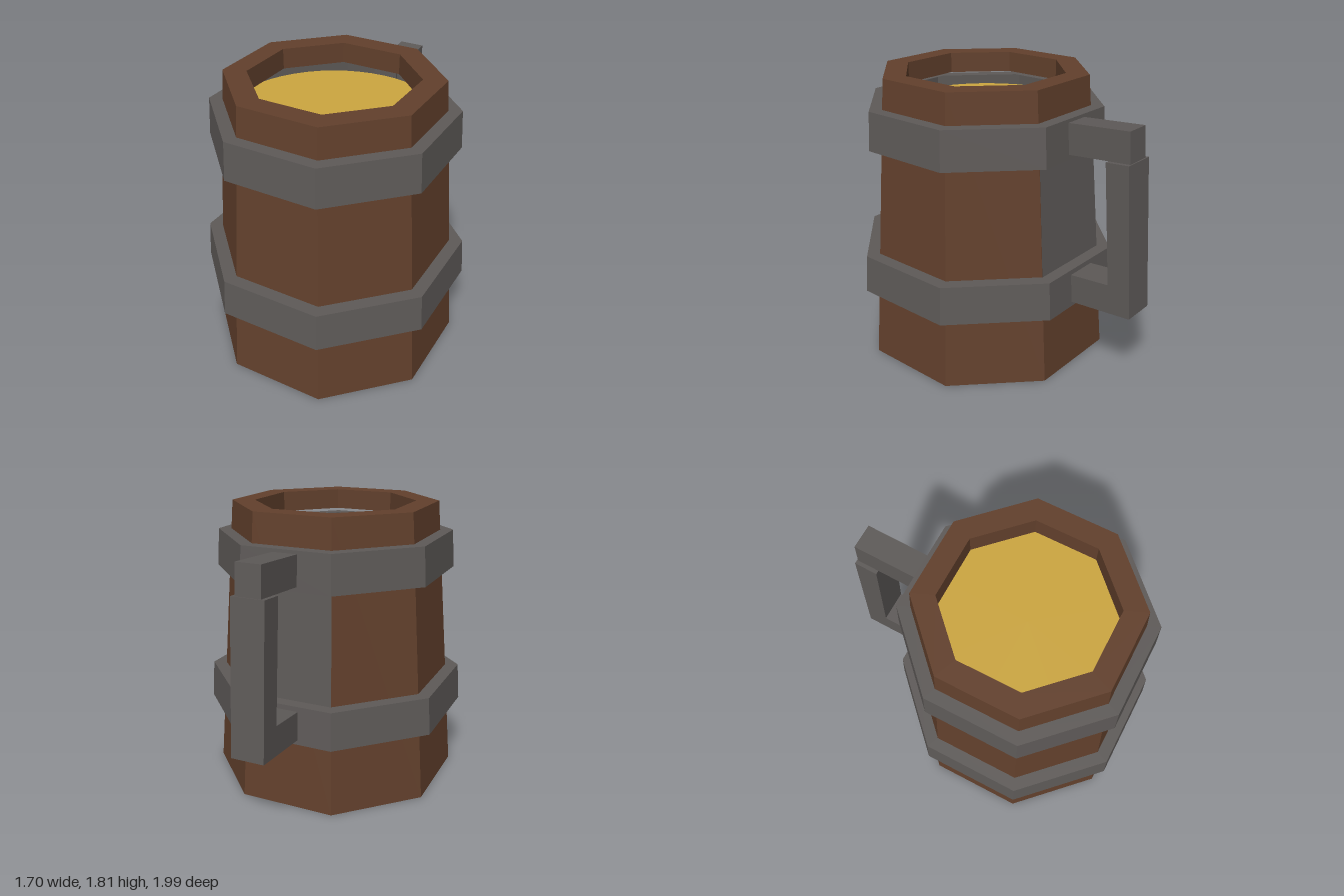
import * as THREE from 'three';

const material = (color, side = THREE.FrontSide) =>
  new THREE.MeshStandardMaterial({ color, side, flatShading: true });
const wood = material(0x62402c);
const metal = material(0x5e5a58);
const hoopMetal = material(0x5e5a58, THREE.DoubleSide);
const ale = material(0xcca640);

const SIDES = 8;
const HANDLE_ANGLE = Math.PI * 7 / 8; // middle of the back facet on the model's left
const points = list => list.map(([x, y]) => new THREE.Vector2(x, y));

function add(parent, name, geometry, mat) {
  const mesh = new THREE.Mesh(geometry, mat);
  mesh.name = name;
  parent.add(mesh);
  return mesh;
}

// Octagonal ring or vessel from a profile of [radius, height]
const turned = profile => new THREE.LatheGeometry(points(profile), SIDES);

// Bar from a side outline of [distance from the axis, height], centred on its width
function bar(outline, width) {
  const geometry = new THREE.ExtrudeGeometry(new THREE.Shape(points(outline)), {
    depth: width, bevelEnabled: false
  });
  geometry.translate(0, 0, -width / 2);
  return geometry;
}

export function createModel() {
  const model = new THREE.Group();
  model.name = 'tankard';
  const mug = new THREE.Group();
  mug.name = 'mug';
  mug.position.z = 0.143;
  model.add(mug);

  // Tapered wooden body with a thick lip
  add(mug, 'body', turned([
    [0, 0], [0.805, 0], [0.66, 1.81], [0.515, 1.81], [0.515, 1.68], [0.668, 1.68]
  ]), wood);

  // Metal hoops, open on the inside
  for (const [name, y0, y1, r0, r1, inner] of [
    ['lowerHoop', 0.46, 0.7, 0.852, 0.835, 0.74],
    ['upperHoop', 1.385, 1.625, 0.772, 0.757, 0.665]
  ]) {
    add(mug, name, turned([[inner, y0], [r0, y0], [r1, y1], [inner, y1]]), hoopMetal);
  }

  // Drink surface below the lip
  const drink = add(mug, 'drink', new THREE.CircleGeometry(0.68, 48), ale);
  drink.rotation.x = -Math.PI / 2;
  drink.position.y = 1.55;

  // Metal plate covering the facet behind the handle
  const plate = add(mug, 'handlePlate', new THREE.CylinderGeometry(
    0.698, 0.753, 0.7, 1, 1, true, HANDLE_ANGLE - Math.PI / 8, Math.PI / 4), metal);
  plate.position.y = 1.04;

  // Handle: a narrow upper arm, and a wider grip with the lower arm
  const handle = new THREE.Group();
  handle.name = 'handle';
  handle.rotation.y = HANDLE_ANGLE - Math.PI / 2;
  mug.add(handle);
  add(handle, 'upperArm', bar([
    [0.69, 1.415], [1.118, 1.447], [1.104, 1.632], [0.69, 1.604]
  ], 0.16), metal);
  add(handle, 'grip', bar([
    [0.765, 0.487], [1.19, 0.518], [1.125, 1.447], [0.976, 1.436],
    [1.034, 0.69], [0.755, 0.668]
  ], 0.21), metal);

  return model;
}
